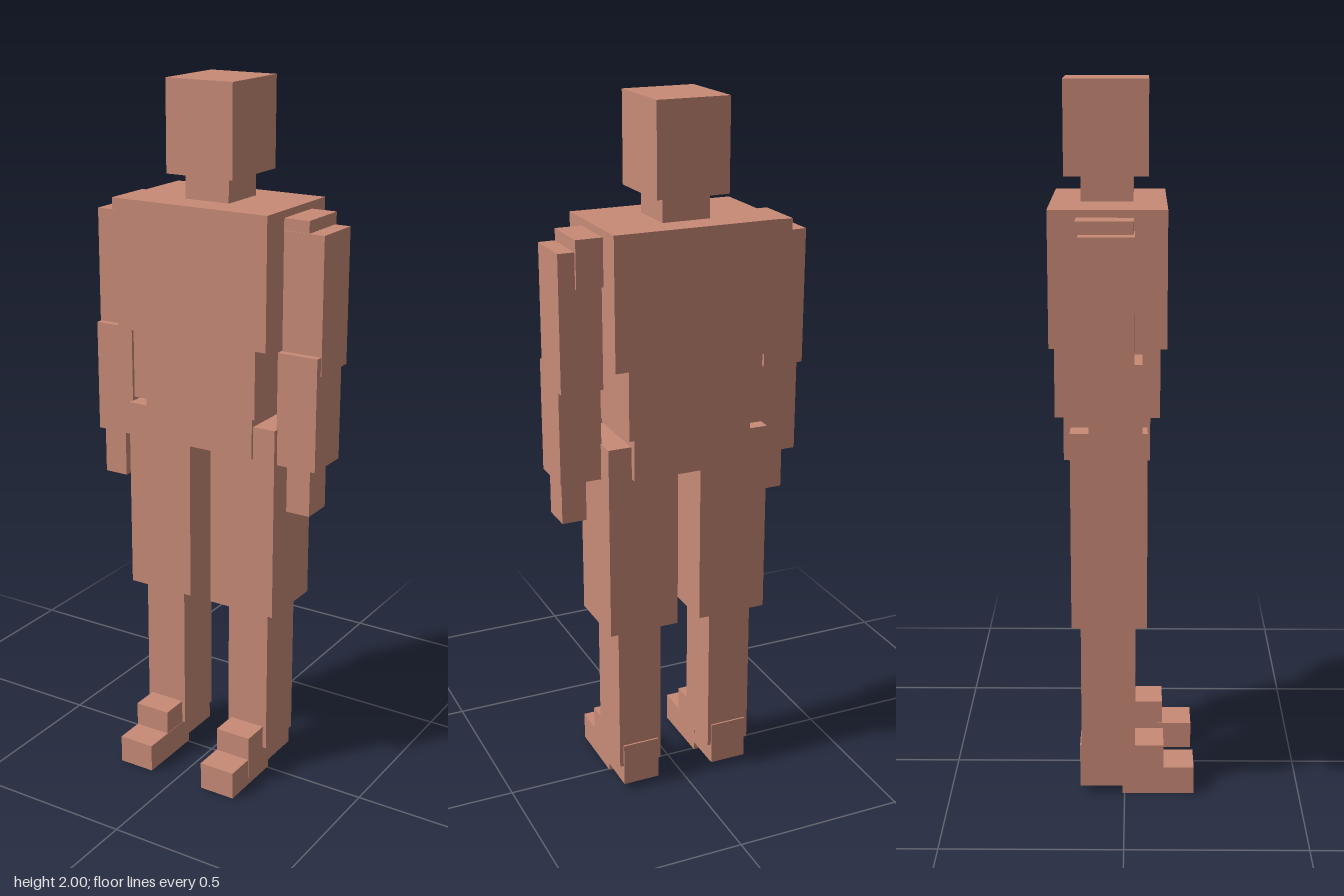
import * as THREE from 'three';

const skin = new THREE.MeshStandardMaterial({ color: 0xc88a76 });
skin.name = 'clay';

// Box given by its extents on each axis
function block(name, [x0, x1], [y0, y1], [z0, z1]) {
  const mesh = new THREE.Mesh(new THREE.BoxGeometry(x1 - x0, y1 - y0, z1 - z0), skin);
  mesh.position.set((x0 + x1) / 2, (y0 + y1) / 2, (z0 + z1) / 2);
  mesh.name = name;
  return mesh;
}

export function createModel() {
  const model = new THREE.Group();
  model.name = 'blockFigure';

  // Head and torso
  model.add(
    block('head', [-0.103, 0.102], [1.75, 2], [-0.162, 0.063]),
    block('neck', [-0.068, 0.067], [1.68, 1.75], [-0.118, 0.023]),
    block('chest', [-0.237, 0.236], [1.317, 1.68], [-0.199, 0.112]),
    block('abdomen', [-0.196, 0.194], [1.12, 1.317], [-0.187, 0.095]),
    block('pelvis', [-0.174, 0.171], [0.995, 1.12], [-0.165, 0.069]),
  );

  // Limb parts as [name, inner and outer x, y range, z range]
  const limbs = [
    ['Shoulder', [0.2, 0.311], [1.53, 1.66], [-0.125, 0.024]],
    ['UpperArm', [0.238, 0.357], [1.25, 1.627], [-0.117, 0.027]],
    ['Forearm', [0.236, 0.355], [0.985, 1.303], [-0.091, 0.047]],
    ['Hand', [0.267, 0.338], [0.853, 0.985], [-0.049, 0.042]],
    ['Thigh', [0.034, 0.238], [0.53, 1.087], [-0.146, 0.062]],
    ['Shin', [0.077, 0.206], [0.083, 0.53], [-0.122, 0.03]],
    ['Ankle', [0.087, 0.195], [0.024, 0.152], [-0.127, 0.111]],
    ['Toes', [0.086, 0.194], [0, 0.082], [-0.006, 0.198]],
  ];
  for (const [name, [a, b], y, z] of limbs) {
    model.add(block('left' + name, [a, b], y, z));
    model.add(block('right' + name, [-b, -a], y, z));
  }
  return model;
}
